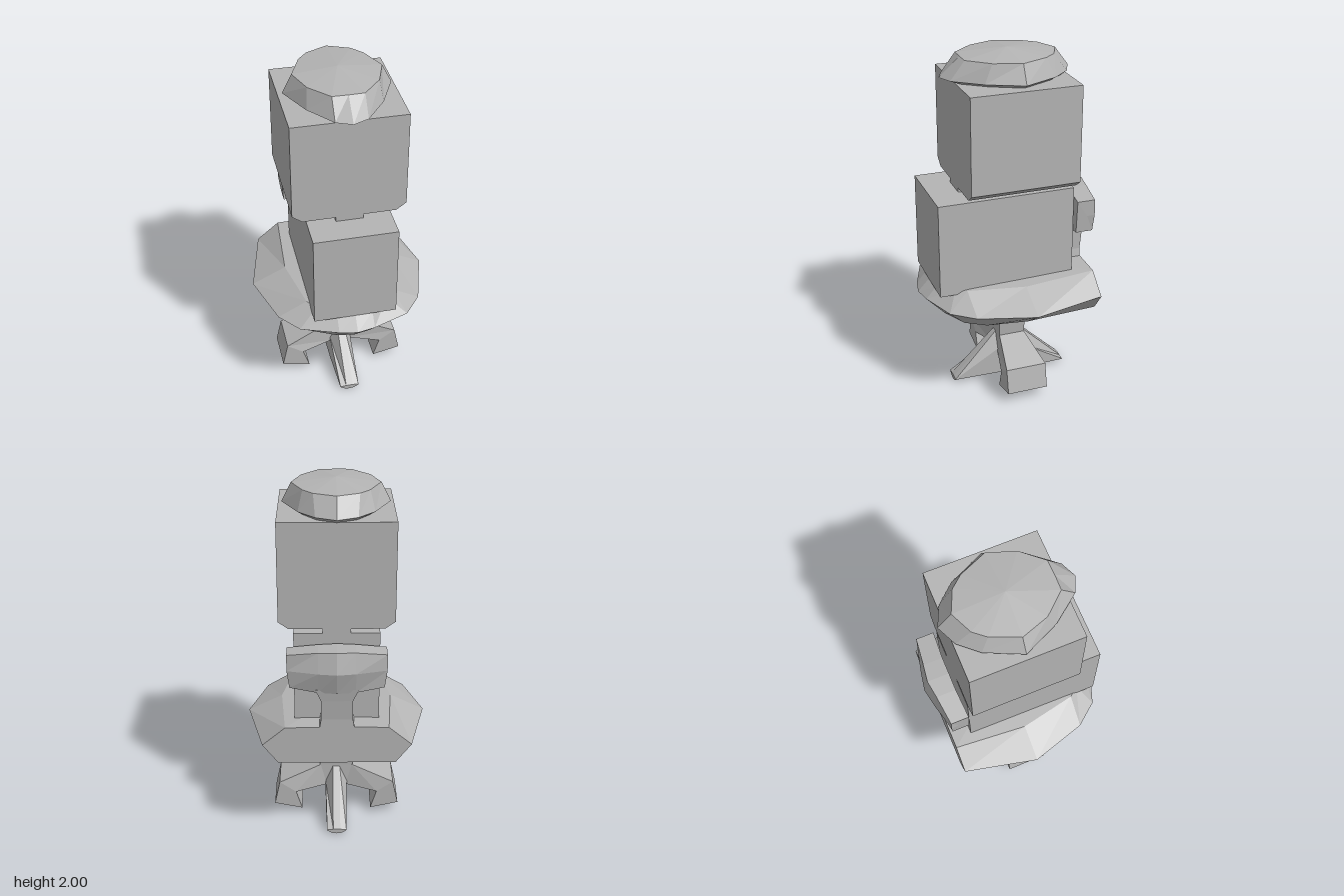
import * as THREE from 'three';

const grey = new THREE.MeshStandardMaterial({ color: 0xb4b4b4 });
grey.name = 'plain grey';
grey.flatShading = true;

// Closed faceted skin through rings of [x, y, z] points; optional apex per end.
function loft(rings, startApex, endApex) {
  const tris = [];
  const n = rings[0].length;
  const centre = (r) => [0, 1, 2].map((k) => r.reduce((s, p) => s + p[k], 0) / n);
  for (let i = 0; i < rings.length - 1; i++) {
    for (let j = 0; j < n; j++) {
      const k = (j + 1) % n;
      const [a, b, c, d] = [rings[i][j], rings[i][k], rings[i + 1][k], rings[i + 1][j]];
      tris.push([a, b, c], [a, c, d]);
    }
  }
  const first = rings[0], last = rings[rings.length - 1];
  const s = startApex || centre(first), e = endApex || centre(last);
  for (let j = 0; j < n; j++) {
    const k = (j + 1) % n;
    tris.push([s, first[k], first[j]], [e, last[j], last[k]]);
  }
  // Turn the faces outward, judged by the enclosed volume
  let volume = 0;
  for (const [a, b, c] of tris) {
    volume += a[0] * (b[1] * c[2] - b[2] * c[1])
      + a[1] * (b[2] * c[0] - b[0] * c[2])
      + a[2] * (b[0] * c[1] - b[1] * c[0]);
  }
  if (volume < 0) tris.forEach((t) => t.reverse());
  const geo = new THREE.BufferGeometry();
  geo.setAttribute('position', new THREE.Float32BufferAttribute(tris.flat(2), 3));
  geo.computeVertexNormals();
  return geo;
}

// Half outline starting and ending on x = 0, completed by mirroring
function mirrored(half) {
  const other = half.slice(1, -1).reverse().map(([x, y, z]) => [-x, y, z]);
  return [...half, ...other];
}
const level = (y, pts) => mirrored(pts.map(([x, z]) => [x, y, z]));

// Rectangular ring at height y
const rect = (y, x, z0, z1) => [[-x, y, z0], [x, y, z0], [x, y, z1], [-x, y, z1]];

export function createModel() {
  const model = new THREE.Group();
  const add = (name, geo) => {
    const mesh = new THREE.Mesh(geo, grey);
    mesh.name = name;
    model.add(mesh);
    return mesh;
  };

  // Upper block with chamfered lower edges and a narrow neck
  const half = [[0.31, 1.848], [0.31, 1.305], [0.255, 1.265], [0.075, 1.265], [0.075, 1.235]];
  const outline = [...half, ...half.slice().reverse().map(([x, y]) => [-x, y])];
  const headShape = new THREE.Shape(outline.map(([x, y]) => new THREE.Vector2(x, y)));
  const head = new THREE.ExtrudeGeometry(headShape, { depth: 0.615, bevelEnabled: false });
  head.translate(0, 0, -0.335);
  add('upperBlock', head);

  // Lower block
  const body = new THREE.BoxGeometry(0.46, 0.54, 0.775);
  body.translate(0, 0.97, 0.0525);
  add('lowerBlock', body);

  // Faceted cap
  add('cap', loft([
    level(1.845, [[0, 0.27], [0.08, 0.25], [0.17, 0.13], [0.25, -0.03], [0.17, -0.2], [0.1, -0.29], [0, -0.335]]),
    level(1.87, [[0, 0.352], [0.085, 0.315], [0.2, 0.165], [0.29, -0.03], [0.2, -0.225], [0.11, -0.325], [0, -0.375]]),
    level(1.973, [[0, 0.237], [0.085, 0.235], [0.187, 0.12], [0.238, -0.03], [0.175, -0.18], [0.12, -0.245], [0, -0.298]]),
  ], null, [0, 2, -0.02]));

  // Wide dish-shaped seat with a flat back
  add('seat', loft([
    level(0.52, [[0, 0.4], [0.1, 0.38], [0.24, 0.31], [0.31, 0.2], [0.345, -0.03], [0.32, -0.445], [0, -0.445]]),
    level(0.63, [[0, 0.505], [0.1, 0.485], [0.305, 0.41], [0.405, 0.285], [0.5, -0.03], [0.405, -0.445], [0, -0.445]]),
    mirrored([[0, 0.7, 0.44], [0.1, 0.7, 0.425], [0.2, 0.715, 0.345], [0.245, 0.72, 0.29],
      [0.31, 0.722, -0.03], [0.28, 0.735, -0.445], [0, 0.74, -0.445]]),
  ], [0, 0.487, -0.03], [0, 0.745, -0.1]));

  // Backrest, swept across from side to side
  const slice = (x, top, bottom, front, backTop, backMid, backLow) => [
    [x, top, front], [x, top, backTop], [x, (top + bottom) / 2 + 0.005, backMid],
    [x, bottom, backLow], [x, bottom, front]];
  const slices = [
    [0.265, 1.165, 0.975, -0.345, -0.447, -0.449, -0.443],
    [0.1, 1.185, 0.952, -0.355, -0.466, -0.489, -0.46],
    [0, 1.19, 0.95, -0.355, -0.48, -0.507, -0.47],
  ];
  const backRings = [
    ...slices.map(([x, ...r]) => slice(-x, ...r)),
    ...slices.slice(0, 2).reverse().map((r) => slice(...r)),
  ];
  // Lower corners sit slightly inward
  for (const p of [...backRings[0], ...backRings[4]]) if (p[1] < 1) p[0] *= 0.95;
  add('backrest', loft(backRings));
  add('backrestStem', loft([
    rect(0.7, 0.1, -0.335, -0.445),
    rect(0.785, 0.085, -0.345, -0.445),
    rect(0.9, 0.085, -0.35, -0.456),
    rect(0.97, 0.115, -0.352, -0.466),
  ]));

  // Central column
  add('column', loft([
    rect(0.17, 0.07, 0.05, -0.1),
    rect(0.3, 0.094, 0.05, -0.1),
    rect(0.5, 0.116, 0.057, -0.108),
  ]));

  // Bent side legs
  const legRing = (s, [tx, ty], [bx, by], z0, z1) => [
    [s * tx, ty, z0], [s * tx, ty, z1], [s * bx, by, z1], [s * bx, by, z0]];
  for (const s of [1, -1]) {
    add(s > 0 ? 'leftLeg' : 'rightLeg', loft([
      legRing(s, [0.09, 0.302], [0.055, 0.17], 0.05, -0.1),
      legRing(s, [0.33, 0.21], [0.235, 0.145], 0.09, -0.145),
      legRing(s, [0.36, 0.07], [0.2, 0.035], 0.09, -0.145),
    ]));
  }

  // Long runner foot sloping down to the front and back
  const footRing = (z, w, shoulder, top) => mirrored([
    [0, 0.004, z], [w * 0.5, 0.008, z], [w, 0.025, z], [w, shoulder, z], [0.02, top, z], [0, top, z]]);
  add('runnerFoot', loft([
    footRing(0.312, 0.055, 0.028, 0.032),
    footRing(0.05, 0.062, 0.19, 0.29),
    footRing(-0.1, 0.062, 0.19, 0.29),
    footRing(-0.367, 0.055, 0.028, 0.032),
  ]));

  return model;
}
